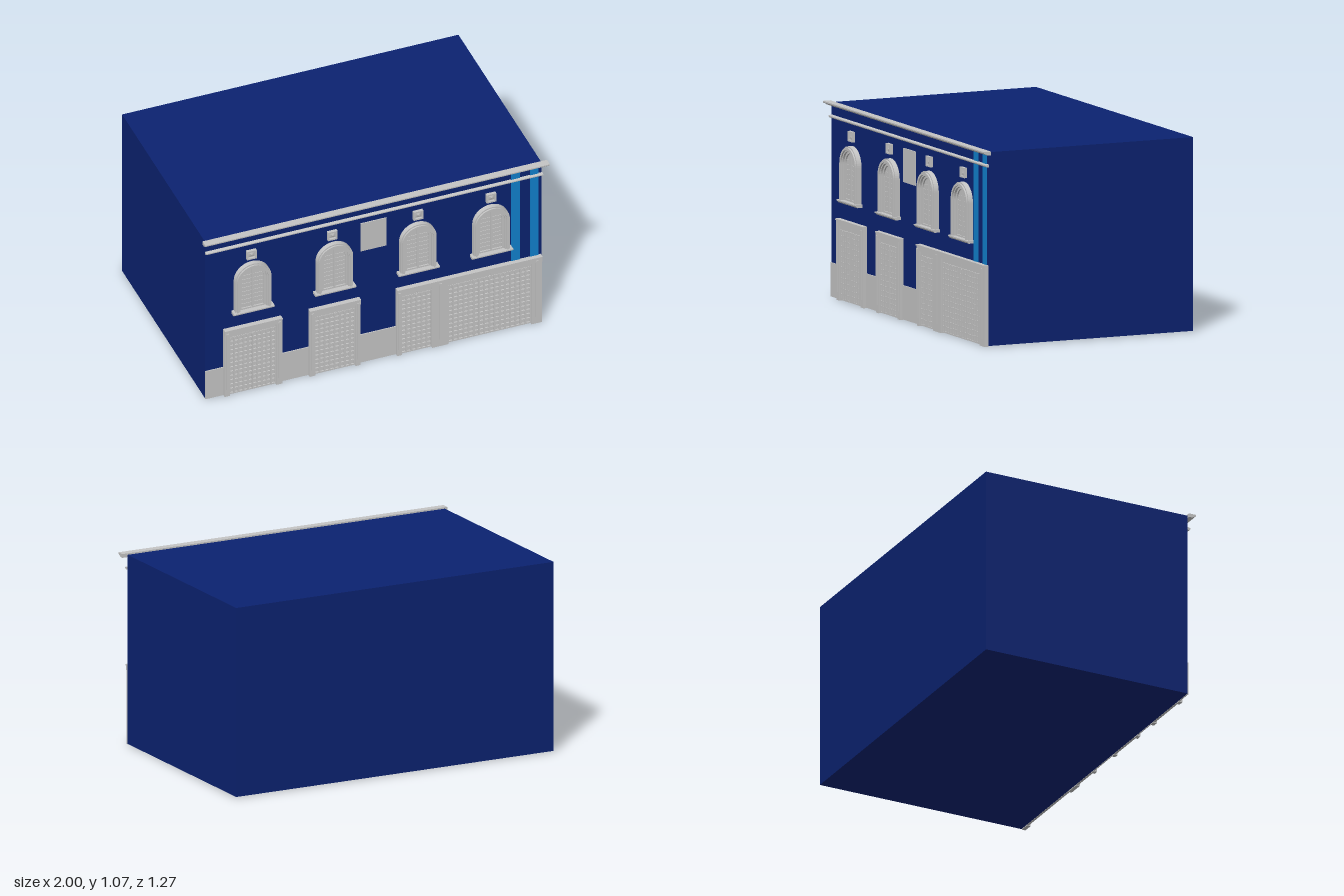
import * as THREE from 'three';
import { mergeGeometries } from 'three/addons/utils/BufferGeometryUtils.js';

const mat = (name, color) => {
  const m = new THREE.MeshStandardMaterial({ color });
  m.name = name;
  return m;
};

// Box geometry given by its limits
function block(x0, x1, y0, y1, z0, z1) {
  return new THREE.BoxGeometry(x1 - x0, y1 - y0, z1 - z0)
    .translate((x0 + x1) / 2, (y0 + y1) / 2, (z0 + z1) / 2);
}

// Moulding: [z, y] profile swept along x
function moulding(points, x0, x1) {
  const shape = new THREE.Shape(points.map(p => new THREE.Vector2(...p)));
  return new THREE.ExtrudeGeometry(shape, { depth: x1 - x0, bevelEnabled: false })
    .rotateY(-Math.PI / 2).translate(x1, 0, 0);
}

// Round-headed outline standing on y0
function arch(r, y0, spring, Type = THREE.Shape) {
  const s = new Type();
  s.moveTo(-r, y0);
  s.lineTo(r, y0);
  s.lineTo(r, spring);
  s.absarc(0, spring, r, 0, Math.PI, false);
  s.lineTo(-r, y0);
  return s;
}

function extrudeAt(shape, z, depth) {
  return new THREE.ExtrudeGeometry(shape, { depth, bevelEnabled: false, curveSegments: 14 })
    .translate(0, 0, z);
}

export function createModel() {
  const navy = mat('navy wall', 0x0b2270);
  const stone = mat('pale stone', 0xc4c4c4);
  const blue = mat('bright blue', 0x1180cc);
  const model = new THREE.Group();
  model.name = 'building';
  const add = (name, geo, material = stone, parent = model) => {
    const m = new THREE.Mesh(geo, material);
    m.name = name;
    parent.add(m);
    return m;
  };

  // Main volume
  add('walls', block(-0.985, 0.968, 0.005, 1.065, -0.635, 0.592), navy);

  // Painted stripes
  add('wideStripe', block(0.79, 0.842, 0.44, 1.055, 0.592, 0.596), blue);
  add('cornerStripe', block(0.902, 0.948, 0.44, 1.055, 0.592, 0.596), blue);

  // Cornice and string course
  add('cornice', moulding([[0.592, 1.052], [0.614, 1.052], [0.62, 1.058], [0.632, 1.062],
    [0.636, 1.066], [0.636, 1.073], [0.592, 1.073]], -1, 1));
  add('stringCourse', moulding([[0.592, 0.982], [0.603, 0.982], [0.61, 0.988],
    [0.61, 0.994], [0.592, 0.998]], -0.985, 0.973));

  // Plinth between the doors and blank panel above
  for (const [a, b] of [[-0.985, -0.878], [-0.547, -0.383], [-0.093, 0.125]])
    add('plinth', block(a, b, 0.003, 0.19, 0.592, 0.598));
  add('wallPanel', block(-0.083, 0.067, 0.755, 0.942, 0.592, 0.598));

  // Arched windows
  for (const x of [-0.715, -0.24, 0.245, 0.67]) {
    const win = new THREE.Group();
    win.name = 'window';
    win.position.x = x;
    model.add(win);
    const spring = 0.758;

    // Stepped surround
    for (const [outer, inner, z, depth] of [[0.104, 0.076, 0.592, 0.028], [0.097, 0.084, 0.62, 0.009]]) {
      const ring = arch(outer, 0.556, spring);
      ring.holes.push(arch(inner, 0.557, spring, THREE.Path));
      add('surround', extrudeAt(ring, z, depth), stone, win);
    }
    add('pane', extrudeAt(arch(0.078, 0.556, spring), 0.592, 0.008), stone, win);
    const sash = arch(0.076, 0.557, spring);
    sash.holes.push(arch(0.064, 0.567, spring, THREE.Path));
    add('sash', extrudeAt(sash, 0.6, 0.008), stone, win);

    // Mullion and glazing bars
    const bars = [block(-0.005, 0.005, 0.557, 0.832, 0.6, 0.608)];
    for (let i = 0; i < 8; i++) {
      const y = 0.59 + i * 0.027;
      bars.push(block(-0.064, 0.064, y, y + 0.004, 0.6, 0.603));
    }
    add('glazingBars', mergeGeometries(bars), stone, win);

    // Sill
    add('sill', moulding([[0.592, 0.541], [0.625, 0.541], [0.631, 0.549],
      [0.636, 0.551], [0.636, 0.558], [0.592, 0.558]], -0.118, 0.118), stone, win);
  }

  // Square blocks with a sunken centre above the windows
  for (const x of [-0.72, -0.25, 0.248, 0.672]) {
    const sq = new THREE.Shape([[-1, -1], [1, -1], [1, 1], [-1, 1]]
      .map(([a, b]) => new THREE.Vector2(x + a * 0.028, 0.914 + b * 0.028)));
    sq.holes.push(new THREE.Path([[-1, -1], [-1, 1], [1, 1], [1, -1]]
      .map(([a, b]) => new THREE.Vector2(x + a * 0.019, 0.914 + b * 0.019))));
    add('ornamentFrame', extrudeAt(sq, 0.592, 0.018));
    const stud = new THREE.ConeGeometry(0.0268, 0.01, 4, 1).rotateY(Math.PI / 4)
      .rotateX(Math.PI / 2).translate(x, 0.914, 0.602);
    add('ornamentStud', mergeGeometries([
      stud.toNonIndexed(),
      block(x - 0.02, x + 0.02, 0.894, 0.934, 0.592, 0.598).toNonIndexed(),
    ]));
  }

  // Door leaves: back panel, lattice, transom and rails
  function door(x0, x1, cols) {
    const g = new THREE.Group();
    g.name = 'door';
    model.add(g);
    const top = 0.412, head = 0.383, foot = 0.008, rows = 13;
    const mid = (x0 + x1) / 2;
    add('doorPanel', block(x0, x1, 0.004, 0.42, 0.592, 0.597), stone, g);
    const bars = [];
    for (let i = 0; i <= cols; i++) {
      const x = x0 + (x1 - x0) * i / cols;
      bars.push(block(Math.max(x0, x - 0.005), Math.min(x1, x + 0.005), foot, head, 0.597, 0.606));
    }
    for (let j = 0; j <= rows; j++) {
      const y = foot + (head - foot) * j / rows;
      bars.push(block(x0, x1, y - 0.004, y + 0.004, 0.597, 0.605));
    }
    add('lattice', mergeGeometries(bars), stone, g);
    for (const [a, b] of [[x0, mid - 0.002], [mid + 0.002, x1]])
      add('transom', block(a + 0.003, b, head + 0.006, top - 0.003, 0.597, 0.605), stone, g);
    add('meetingRail', block(mid - 0.003, mid + 0.003, foot, head, 0.597, 0.609), stone, g);
  }
  const doors = [[-0.848, -0.58, 10], [-0.354, -0.12, 8], [0.149, 0.325, 6], [0.42, 0.902, 16]];
  for (const d of doors) door(...d);

  // Stone frames: posts standing on the ground under a lintel
  const frames = [
    [[-0.88, -0.848], [-0.58, -0.545]],
    [[-0.386, -0.354], [-0.12, -0.09]],
    [[0.122, 0.149], [0.325, 0.42], [0.902, 0.964]],
  ];
  for (const posts of frames) {
    const a = posts[0][0], b = posts[posts.length - 1][1];
    add('lintel', block(a, b, 0.412, 0.438, 0.592, 0.616));
    add('lintelCap', block(a, b, 0.438, 0.446, 0.592, 0.621));
    for (const [p, q] of posts) {
      add('doorPost', block(p, q, 0, 0.412, 0.592, 0.614));
      // Raised strip on each post
      const c = (p + q) / 2;
      add('postStrip', block(c - 0.007, c + 0.007, 0.045, 0.425, 0.612, 0.621));
    }
  }
  return model;
}
